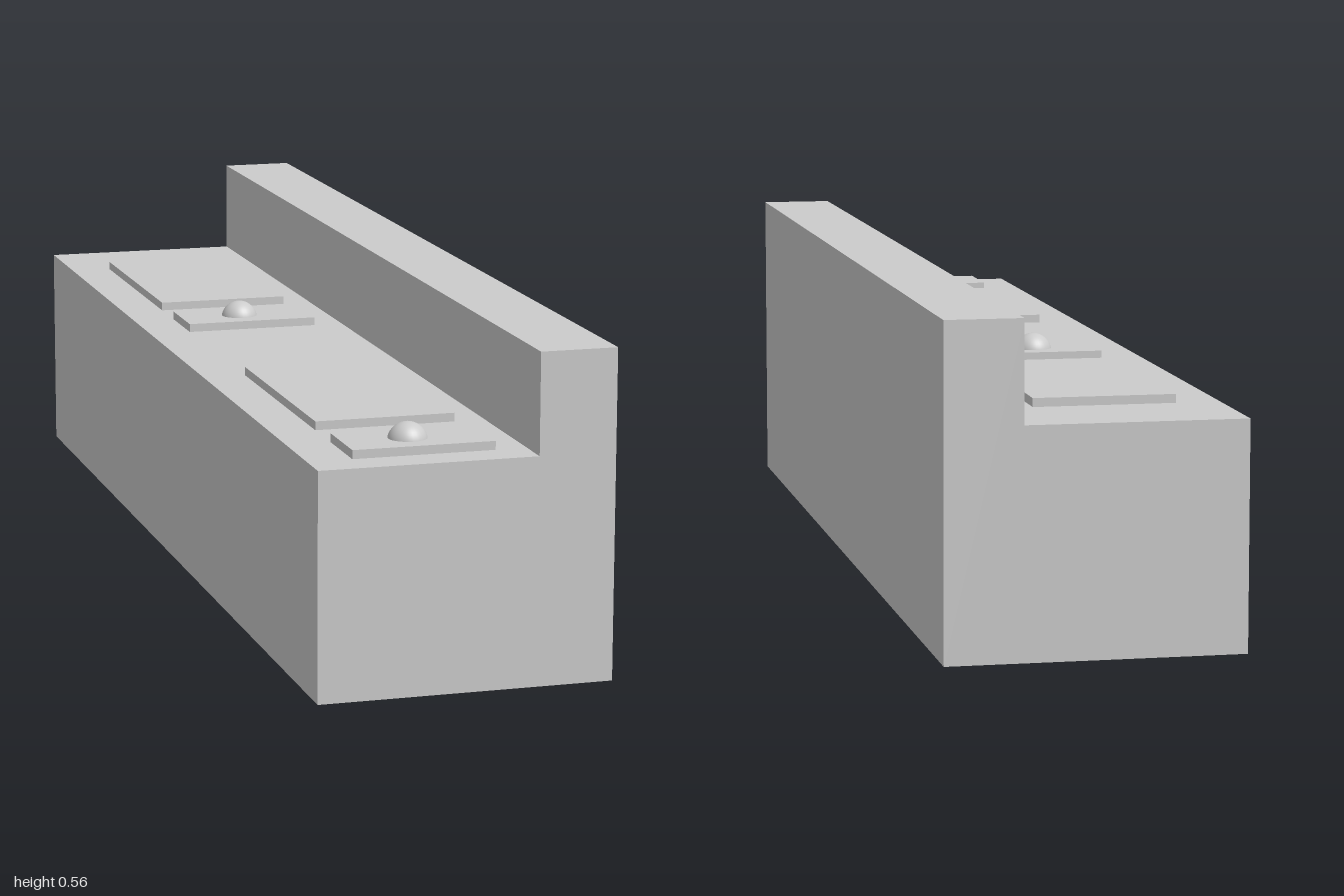
import * as THREE from 'three';

export function createModel() {
  const model = new THREE.Group();
  const material = new THREE.MeshStandardMaterial({ color: 0xcccccc });
  const topY = 0.389, padHeight = 0.015;

  const add = (name, geometry, x, y, z) => {
    const mesh = new THREE.Mesh(geometry, material);
    mesh.name = name;
    mesh.position.set(x, y, z);
    model.add(mesh);
  };

  // Counter with a raised wall along its left edge: one L-shaped extrusion
  const profile = new THREE.Shape([
    [-0.253, 0], [0.253, 0], [0.253, 0.562], [0.121, 0.562], [0.121, topY], [-0.253, topY],
  ].map(([x, y]) => new THREE.Vector2(x, y)));
  add('counterBody', new THREE.ExtrudeGeometry(profile, { depth: 2, bevelEnabled: false }), 0, 0, -1);

  // Flat pads on the worktop
  const addPad = (name, z, length) =>
    add(name, new THREE.BoxGeometry(0.244, padHeight, length), -0.055, topY + padHeight / 2, z);

  // Two stations, each a large pad and a small pad with a dome
  [['back', -0.583, -0.2], ['front', 0.493, 0.874]].forEach(([side, largeZ, smallZ]) => {
    addPad(side + 'LargePad', largeZ, 0.455);
    addPad(side + 'SmallPad', smallZ, 0.127);
    add(side + 'Dome', new THREE.SphereGeometry(0.034, 32, 12, 0, Math.PI * 2, 0, Math.PI / 2),
      -0.064, topY + 0.008, smallZ);
  });

  return model;
}
